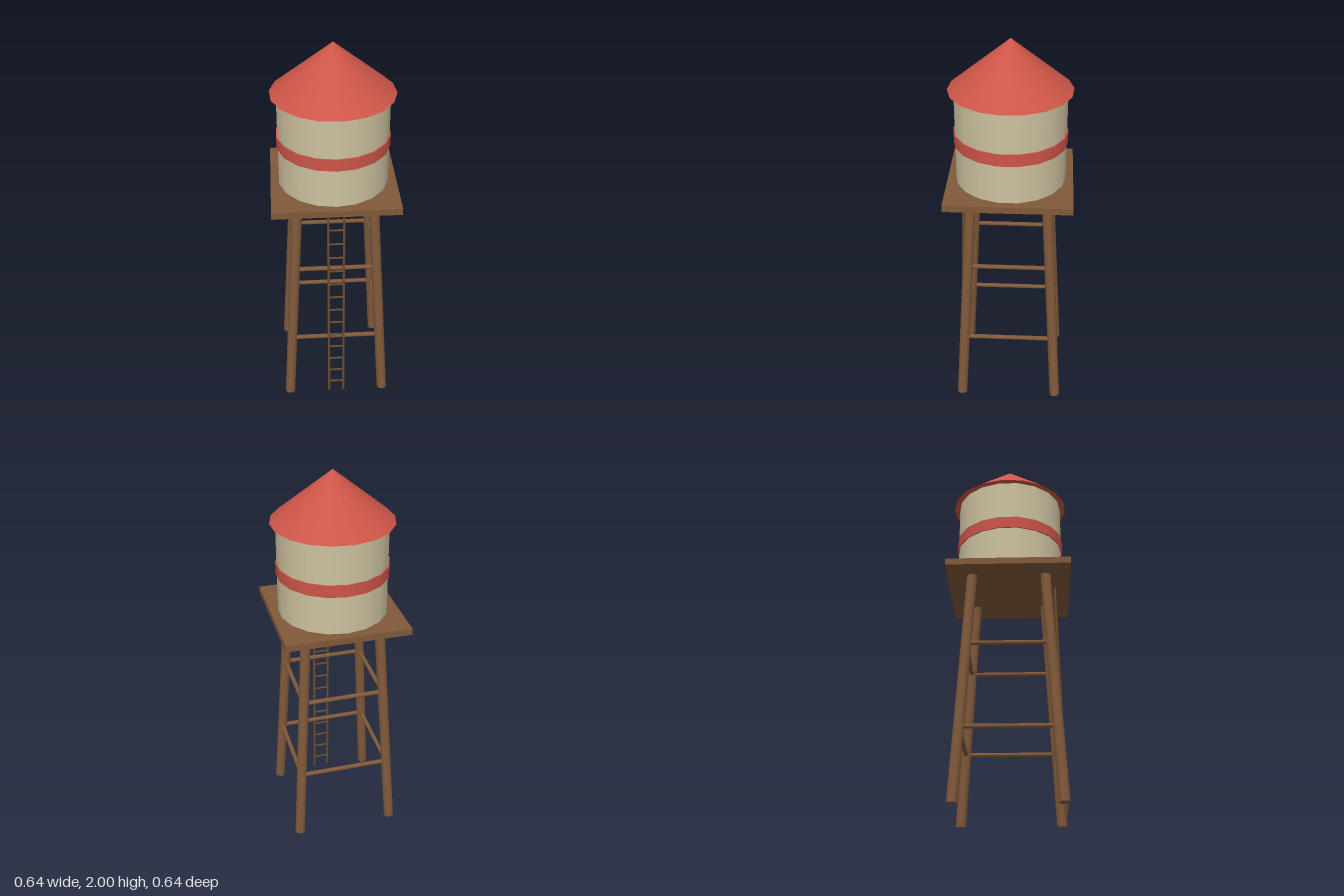
import * as THREE from 'three';

const mat = (name, color) => {
  const m = new THREE.MeshStandardMaterial({ color });
  m.name = name;
  return m;
};

export function createModel() {
  const wood = mat('wood', 0x80593a);
  const darkWood = mat('dark wood', 0x6b4c2e);
  const cream = mat('cream', 0xcdc2a0);
  const red = mat('red', 0xcd5548);

  const tower = new THREE.Group();
  tower.name = 'waterTower';

  const add = (parent, name, geometry, material, y = 0) => {
    const mesh = new THREE.Mesh(geometry, material);
    mesh.name = name;
    mesh.position.y = y;
    parent.add(mesh);
    return mesh;
  };
  const group = (name) => {
    const g = new THREE.Group();
    g.name = name;
    tower.add(g);
    return g;
  };

  // Round pole running from point a to point b
  const up = new THREE.Vector3(0, 1, 0);
  const pole = (parent, name, a, b, radius, sides, material) => {
    const start = new THREE.Vector3(...a);
    const end = new THREE.Vector3(...b);
    const dir = end.clone().sub(start);
    const mesh = add(parent, name, new THREE.CylinderGeometry(radius, radius, dir.length(), sides), material);
    mesh.position.copy(start).add(end).multiplyScalar(0.5);
    mesh.quaternion.setFromUnitVectors(up, dir.normalize());
  };

  // Splayed legs
  const legBottom = 0.26, legTop = 0.192, deckY = 1.225;
  const legs = group('legs');
  for (const sx of [-1, 1]) for (const sz of [-1, 1]) {
    pole(legs, 'leg', [sx * legBottom, 0.003, sz * legBottom], [sx * legTop, deckY, sz * legTop], 0.027, 12, wood);
  }

  // Two square rings of cross braces
  const braces = group('braces');
  for (const y of [0.38, 0.828]) {
    const r = THREE.MathUtils.lerp(legBottom, legTop, y / deckY);
    for (const s of [-1, 1]) {
      pole(braces, 'brace', [-r, y, s * r], [r, y, s * r], 0.012, 8, wood);
      pole(braces, 'brace', [s * r, y, -r], [s * r, y, r], 0.012, 8, wood);
    }
  }

  // Leaning ladder at the front
  const ladder = group('ladder');
  const ladderZ = (y) => THREE.MathUtils.lerp(0.277, 0.243, y / deckY);
  for (const x of [-0.04, 0.04]) {
    pole(ladder, 'ladderRail', [x, 0.008, ladderZ(0)], [x, deckY, ladderZ(deckY)], 0.0065, 8, darkWood);
  }
  for (let i = 0; i < 14; i++) {
    const y = 0.072 + i * 0.0848;
    pole(ladder, 'rung', [-0.04, y, ladderZ(y)], [0.04, y, ladderZ(y)], 0.0055, 6, darkWood);
  }

  // Platform
  add(tower, 'platform', new THREE.BoxGeometry(0.645, 0.035, 0.645), wood, 1.238);

  // Tank with painted band
  add(tower, 'tank', new THREE.CylinderGeometry(0.283, 0.283, 0.49, 18), cream, 1.5);
  add(tower, 'band', new THREE.CylinderGeometry(0.289, 0.289, 0.064, 18), red, 1.492);

  // Conical roof, turned slightly against the tank
  const roof = add(tower, 'roof', new THREE.ConeGeometry(0.313, 0.26, 18), red, 1.87);
  roof.rotation.y = 0.075;

  return tower;
}
